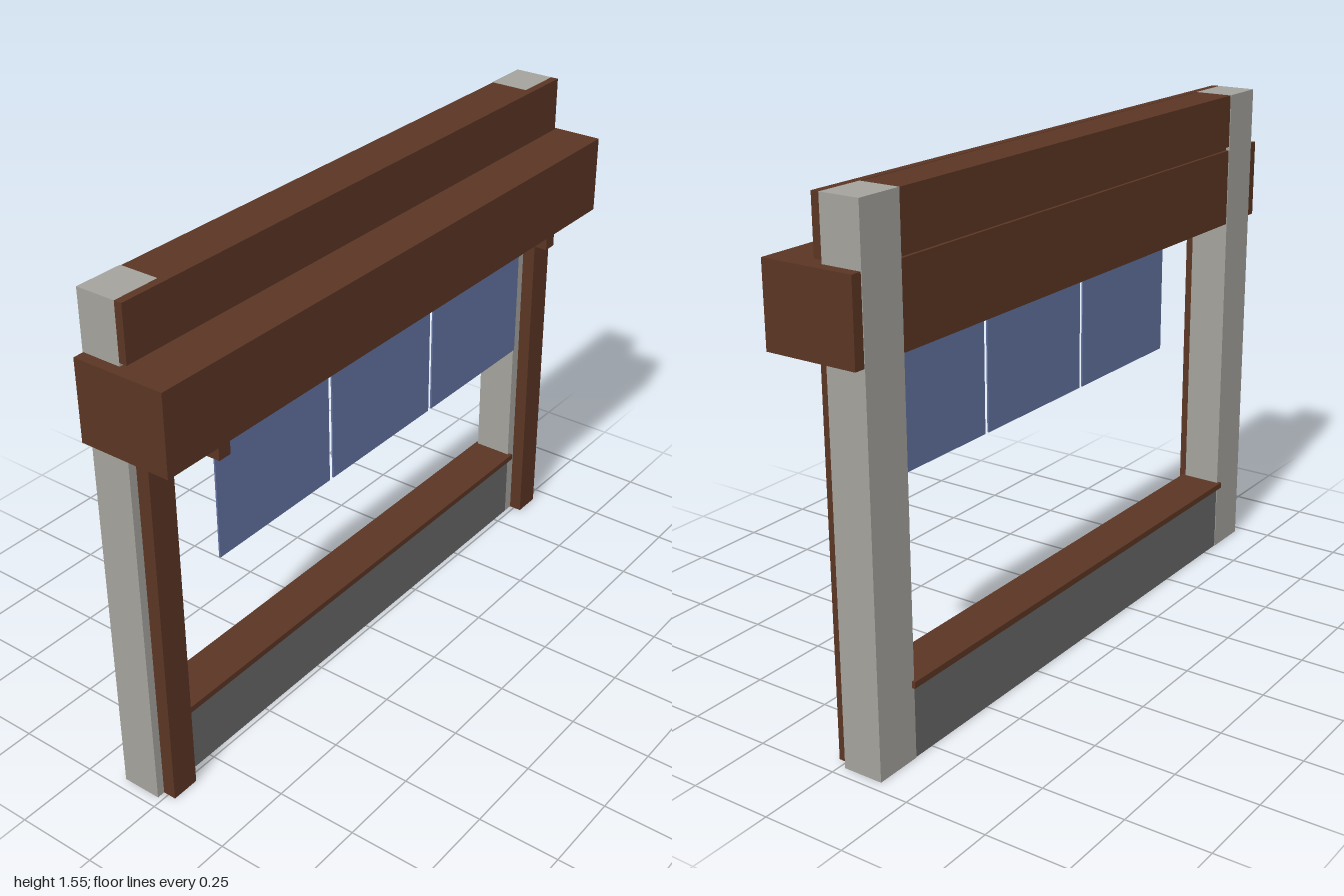
import * as THREE from 'three';

export function createModel() {
  const model = new THREE.Group();
  model.name = 'shopFront';

  const mat = (name, color) => {
    const m = new THREE.MeshStandardMaterial({ color });
    m.name = name;
    return m;
  };
  const wood = mat('darkWood', 0x5a3523);
  const concrete = mat('paleConcrete', 0xa3a29c);
  const stone = mat('greyStone', 0x666668);
  const cloth = mat('blueCloth', 0x6272a0);

  // Box given by its extents on each axis
  function box(name, material, [x0, x1], [y0, y1], [z0, z1]) {
    const mesh = new THREE.Mesh(new THREE.BoxGeometry(x1 - x0, y1 - y0, z1 - z0), material);
    mesh.position.set((x0 + x1) / 2, (y0 + y1) / 2, (z0 + z1) / 2);
    mesh.name = name;
    model.add(mesh);
    return mesh;
  }
  // Mirrored pair of boxes, left and right
  function pair(name, material, [x0, x1], y, z) {
    box('left' + name, material, [x0, x1], y, z);
    box('right' + name, material, [-x1, -x0], y, z);
  }

  // Uprights: concrete pillars with timber posts in front
  pair('Pillar', concrete, [0.82, 0.967], [0, 1.549], [-0.139, -0.016]);
  pair('Post', wood, [0.854, 0.942], [0, 1.137], [-0.016, 0.025]);

  // Low wall and its sill
  box('lowWall', stone, [-0.82, 0.82], [0, 0.215], [-0.137, -0.016]);
  box('sill', wood, [-0.83, 0.83], [0.215, 0.234], [-0.149, -0.004]);

  // Header beam, recessed joint, upper beam and fascia board
  box('headerBeam', wood, [-1, 1], [1.135, 1.374], [-0.137, 0.149]);
  box('beamJoint', wood, [-0.82, 0.82], [1.374, 1.385], [-0.127, -0.022]);
  box('upperBeam', wood, [-0.82, 0.82], [1.385, 1.548], [-0.137, -0.016]);
  box('fasciaBoard', wood, [-0.967, 0.967], [1.384, 1.549], [-0.016, 0.008]);

  // Curtain rod on two brackets
  pair('RodBracket', wood, [0.752, 0.795], [1.077, 1.117], [0.025, 0.127]);
  const rod = new THREE.Mesh(new THREE.CylinderGeometry(0.01, 0.01, 1.53, 16), wood);
  rod.rotation.z = Math.PI / 2;
  rod.position.set(0, 1.116, 0.043);
  rod.name = 'curtainRod';
  model.add(rod);

  // Three hanging cloth panels
  for (let i = -1; i <= 1; i++) {
    const x = i * 0.488;
    box('curtainPanel' + (i + 2), cloth, [x - 0.236, x + 0.236], [0.708, 1.112], [0.041, 0.046]);
  }

  return model;
}
